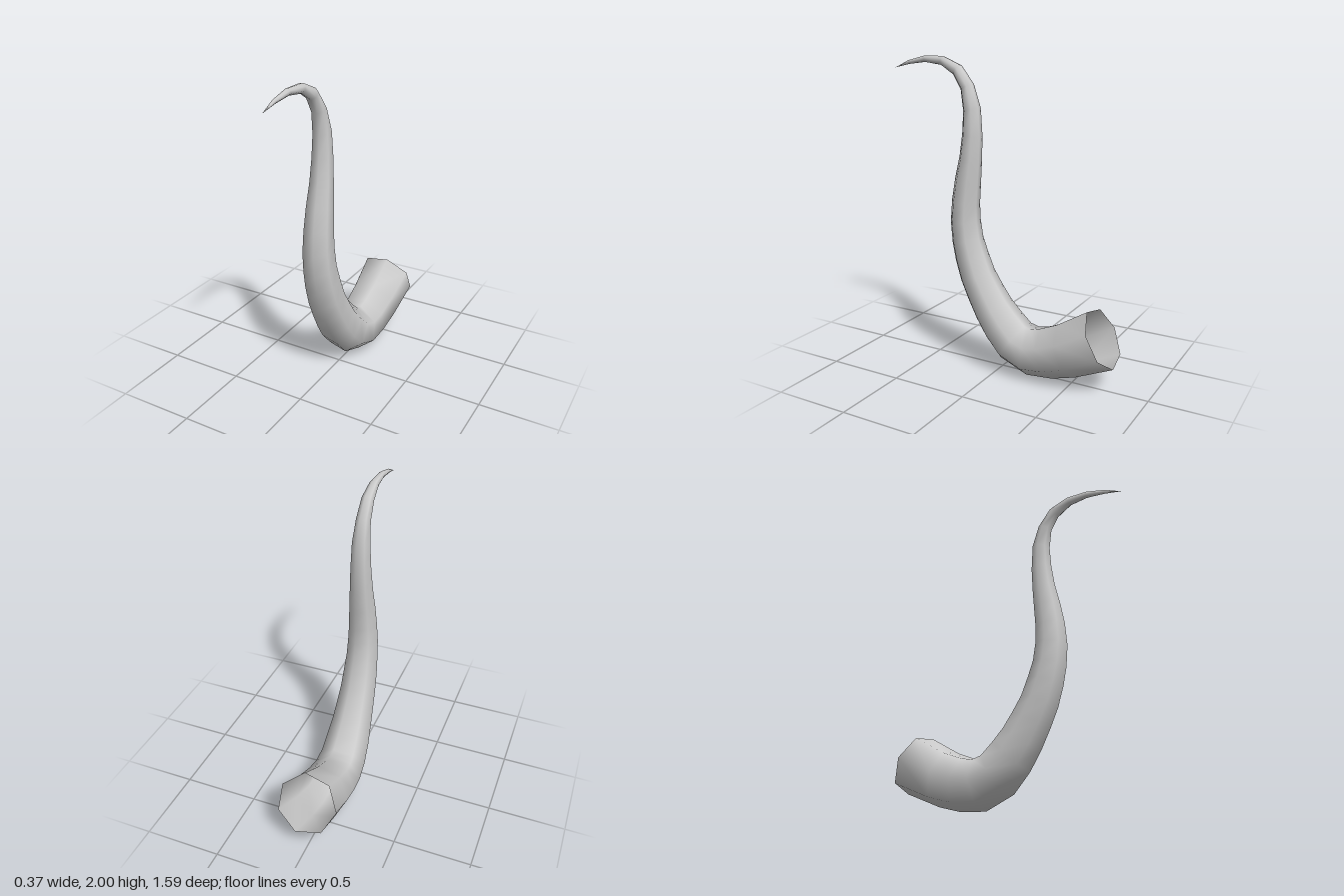
import * as THREE from 'three';

const SIDES = 7;
const CENTRE_X = 0.009;

// Cross-sections from open base to tip: outer edge (z, y), inner edge (z, y)
const SECTIONS = [
  // flared base
  [-0.79, 0.18, -0.61, 0.515], [-0.54, 0.068, -0.41, 0.39], [-0.38, 0.02, -0.29, 0.338],
  // tight lower bend
  [-0.2, 0.003, -0.225, 0.32], [-0.01, 0.08, -0.18, 0.33], [0.1, 0.2, -0.11, 0.395],
  // rising body
  [0.175, 0.315, -0.04, 0.47], [0.24, 0.44, 0.02, 0.555], [0.295, 0.56, 0.08, 0.65],
  [0.335, 0.69, 0.125, 0.76], [0.36, 0.81, 0.16, 0.86], [0.372, 0.95, 0.177, 0.97],
  [0.36, 1.1, 0.18, 1.07], [0.335, 1.24, 0.17, 1.21], [0.3, 1.39, 0.16, 1.35],
  [0.28, 1.53, 0.153, 1.51], [0.272, 1.67, 0.162, 1.69],
  // curled end
  [0.29, 1.8, 0.208, 1.835], [0.345, 1.89, 0.295, 1.948], [0.435, 1.945, 0.42, 2.0],
  [0.555, 1.96, 0.56, 2.0], [0.68, 1.945, 0.69, 1.968], [0.795, 1.92, 0.795, 1.92],
];

// Loft a seven-sided smooth skin through the cross-sections
function loft(sections) {
  const positions = [], indices = [];
  const reach = Math.sin((4 * Math.PI) / SIDES); // extent of the polygon across the bend plane
  for (const [oz, oy, iz, iy] of sections) {
    const hz = (oz - iz) / 2 / reach, hy = (oy - iy) / 2 / reach;
    const r = Math.hypot(hz, hy);
    for (let j = 0; j < SIDES; j++) {
      const a = Math.PI + (j * 2 * Math.PI) / SIDES;
      const c = Math.cos(a), s = Math.sin(a);
      positions.push(CENTRE_X + r * c, (oy + iy) / 2 + hy * s, (oz + iz) / 2 + hz * s);
    }
  }
  const last = sections.length - 2;
  for (let i = 0; i <= last; i++) {
    for (let j = 0; j < SIDES; j++) {
      const a = i * SIDES + j, b = i * SIDES + ((j + 1) % SIDES);
      indices.push(a, a + SIDES, b);
      if (i < last) indices.push(b, a + SIDES, b + SIDES); // single triangles at the tip
    }
  }
  const geometry = new THREE.BufferGeometry();
  geometry.setAttribute('position', new THREE.Float32BufferAttribute(positions, 3));
  geometry.setIndex(indices);
  geometry.computeVertexNormals();
  return geometry;
}

export function createModel() {
  const group = new THREE.Group();
  group.name = 'curvedHorn';
  const material = new THREE.MeshStandardMaterial({ color: 0xcccccc, side: THREE.DoubleSide });
  const horn = new THREE.Mesh(loft(SECTIONS), material);
  horn.name = 'horn';
  group.add(horn);
  return group;
}
